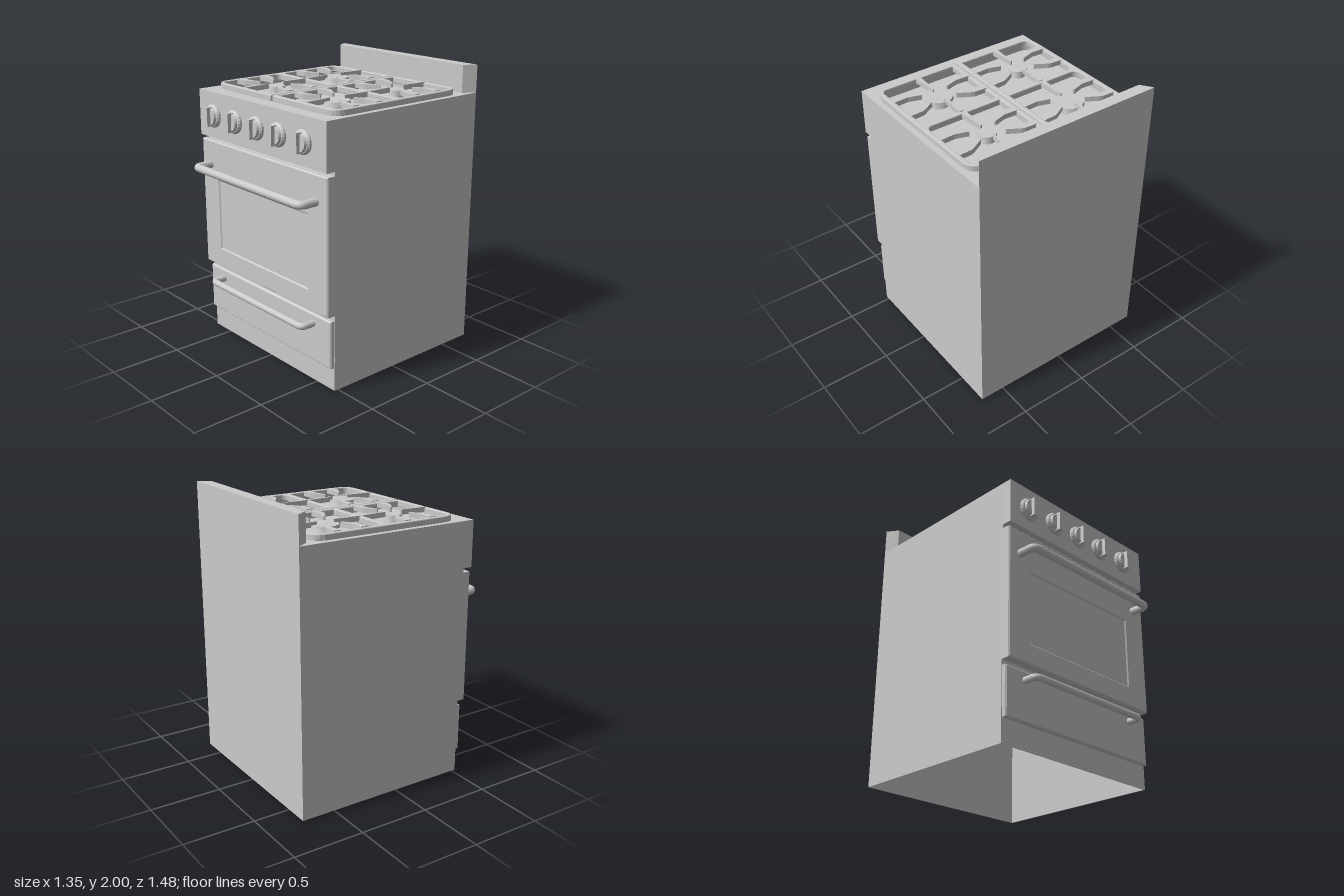
import * as THREE from 'three';

const mat = new THREE.MeshStandardMaterial({ color: 0xcccccc, side: THREE.DoubleSide });

function add(parent, name, geo, x = 0, y = 0, z = 0) {
  const mesh = new THREE.Mesh(geo, mat);
  mesh.name = name;
  mesh.position.set(x, y, z);
  parent.add(mesh);
  return mesh;
}

// Box given by its limits on each axis
function block(parent, name, [x0, x1], [y0, y1], [z0, z1]) {
  return add(parent, name, new THREE.BoxGeometry(x1 - x0, y1 - y0, z1 - z0),
    (x0 + x1) / 2, (y0 + y1) / 2, (z0 + z1) / 2);
}

const polygon = pts => new THREE.Shape(pts.map(p => new THREE.Vector2(...p)));

const rect = (x0, x1, y0, y1) => polygon([[x0, y0], [x1, y0], [x1, y1], [x0, y1]]);

// Rectangle with its own radius on the left and right corners
function roundRect(x0, x1, y0, y1, rl, rr) {
  const s = new THREE.Shape();
  s.moveTo(x0 + rl, y0);
  s.lineTo(x1 - rr, y0);
  s.quadraticCurveTo(x1, y0, x1, y0 + rr);
  s.lineTo(x1, y1 - rr);
  s.quadraticCurveTo(x1, y1, x1 - rr, y1);
  s.lineTo(x0 + rl, y1);
  s.quadraticCurveTo(x0, y1, x0, y1 - rl);
  s.lineTo(x0, y0 + rl);
  s.quadraticCurveTo(x0, y0, x0 + rl, y0);
  return s;
}

// Plan outline in (x, z), extruded downward from y = 0, with an optional bevel
function planExtrude(shape, depth, bevel = 0) {
  const geo = new THREE.ExtrudeGeometry(shape, {
    depth: depth - 2 * bevel, bevelEnabled: bevel > 0, bevelSize: bevel,
    bevelThickness: bevel, bevelOffset: -bevel, bevelSegments: 2, curveSegments: 6,
  });
  geo.translate(0, 0, bevel);
  return geo.rotateX(Math.PI / 2);
}

// Front panel with bevelled edges, optionally pierced
function frontPanel(shape, z0, z1, bevel) {
  const geo = new THREE.ExtrudeGeometry(shape, {
    depth: z1 - z0 - bevel, bevelEnabled: true, bevelSize: bevel,
    bevelThickness: bevel, bevelOffset: -bevel, bevelSegments: 1,
  });
  return geo.translate(0, 0, z0);
}

// Bar handle bent back to the panel at both ends
function handle(parent, name, half, y, zBack, zBar, radius) {
  const r = 0.04, x = half - radius, v = (a, b) => new THREE.Vector3(a, 0, b);
  const path = new THREE.CurvePath();
  path.add(new THREE.LineCurve3(v(-x, zBack), v(-x, zBar - r)));
  path.add(new THREE.QuadraticBezierCurve3(v(-x, zBar - r), v(-x, zBar), v(-x + r, zBar)));
  path.add(new THREE.LineCurve3(v(-x + r, zBar), v(x - r, zBar)));
  path.add(new THREE.QuadraticBezierCurve3(v(x - r, zBar), v(x, zBar), v(x, zBar - r)));
  path.add(new THREE.LineCurve3(v(x, zBar - r), v(x, zBack)));
  add(parent, name, new THREE.TubeGeometry(path, 120, radius, 12), -0.005, y, 0);
}

function knob(parent, x) {
  const g = new THREE.Group();
  g.name = 'knob';
  g.position.set(x, 1.645, 0.6);
  const profile = [[0, 0], [0.08, 0], [0.08, 0.012], [0.07, 0.024], [0.064, 0.026], [0.058, 0.042], [0, 0.042]];
  const dial = new THREE.LatheGeometry(profile.map(p => new THREE.Vector2(...p)), 20);
  dial.rotateX(Math.PI / 2);
  const mesh = add(g, 'knobDial', dial.toNonIndexed());
  mesh.geometry.computeVertexNormals();
  // Grip narrows toward the face
  const grip = new THREE.BoxGeometry(0.036, 0.132, 0.06);
  const p = grip.attributes.position;
  for (let i = 0; i < p.count; i++) if (p.getZ(i) > 0) p.setX(i, p.getX(i) * 0.75);
  grip.computeVertexNormals();
  add(g, 'knobGrip', grip, 0, 0, 0.037);
  parent.add(g);
}

const CELL_Z = [-0.33, 0.205];

// Grate half: frame with two openings, each with six fingers pointing at the burner
function grate(parent, side) {
  const g = new THREE.Group();
  g.name = side < 0 ? 'rightGrate' : 'leftGrate';
  const [x0, x1, rl, rr] = side < 0 ? [-0.635, -0.006, 0.11, 0.012] : [0.006, 0.635, 0.012, 0.11];
  const frame = roundRect(x0, x1, -0.61, 0.49, rl, rr);
  const [hx0, hx1, hl, hr] = side < 0 ? [-0.602, -0.04, 0.05, 0.005] : [0.04, 0.602, 0.005, 0.05];
  frame.holes.push(roundRect(hx0, hx1, -0.58, -0.08, hl, hr), roundRect(hx0, hx1, -0.045, 0.458, hl, hr));
  add(g, 'grateFrame', planExtrude(frame, 0.045, 0.006), 0, 1.85, 0);

  for (const cz of CELL_Z) {
    for (const sz of [-1, 1]) {
      const at = pts => polygon(pts.map(([x, z]) => [side * 0.32 + x, cz + sz * z]));
      const long = at([[-0.018, 0.26], [-0.015, 0.2], [-0.005, 0.065], [0.005, 0.065], [0.015, 0.2], [0.018, 0.26]]);
      add(g, 'grateFinger', planExtrude(long, 0.035), 0, 1.855, 0);
      for (const sx of [-1, 1]) {
        const bent = at([[0.29, 0.125], [0.2, 0.12], [0.18, 0.112], [0.095, 0.063],
          [0.1, 0.051], [0.19, 0.078], [0.29, 0.073]].map(([x, z]) => [sx * x, z]));
        add(g, 'grateFinger', planExtrude(bent, 0.035), 0, 1.855, 0);
      }
    }
  }
  parent.add(g);
}

function burner(parent, x, z, r) {
  const g = new THREE.Group();
  g.name = 'burner';
  g.position.set(x, 1.78, z);
  add(g, 'burnerBase', new THREE.CylinderGeometry(r * 0.75, r * 0.85, 0.035, 14), 0, 0.017, 0);
  add(g, 'burnerCap', new THREE.CylinderGeometry(r * 0.95, r, 0.02, 14), 0, 0.044, 0);
  parent.add(g);
}

export function createModel() {
  const stove = new THREE.Group();
  stove.name = 'stove';
  const W = 0.675, BACK = -0.74, FRONT = 0.53;

  // Cabinet: open skirt below, closed oven body above
  const skirt = rect(-W, W, BACK, FRONT);
  skirt.holes.push(rect(-W + 0.006, W - 0.006, BACK + 0.006, FRONT - 0.006));
  add(stove, 'baseSkirt', planExtrude(skirt, 0.64), 0, 0.64, 0);
  block(stove, 'ovenBody', [-W, W], [0.64, 1.78], [BACK, FRONT]);

  // Cooktop with a shallow rounded well
  const top = rect(-W, W, BACK, 0.6);
  top.holes.push(roundRect(-0.62, 0.62, -0.6, 0.46, 0.09, 0.09));
  add(stove, 'cooktop', planExtrude(top, 0.03), 0, 1.81, 0);

  // Backguard with mitred ends
  const guard = polygon([[-W, BACK], [W, BACK], [0.62, -0.658], [-0.62, -0.658]]);
  add(stove, 'backguard', planExtrude(guard, 0.19), 0, 2, 0);

  // Control panel and knobs
  block(stove, 'controlPanel', [-W, W], [1.488, 1.78], [FRONT, 0.6]);
  for (const x of [-0.505, -0.26, -0.02, 0.21, 0.46]) knob(stove, x);

  // Oven door with window
  const door = rect(-W, W, 0.535, 1.46);
  door.holes.push(rect(-0.485, 0.475, 0.68, 1.18));
  add(stove, 'ovenDoor', frontPanel(door, FRONT, 0.592, 0.008));
  block(stove, 'ovenWindow', [-0.5, 0.49], [0.67, 1.19], [FRONT, 0.584]);
  handle(stove, 'doorHandle', 0.6, 1.285, 0.58, 0.715, 0.028);

  // Storage drawer
  add(stove, 'drawer', frontPanel(rect(-0.67, 0.67, 0.163, 0.498), FRONT, 0.562, 0.009));
  handle(stove, 'drawerHandle', 0.525, 0.433, 0.55, 0.657, 0.023);

  // Burners and grates
  burner(stove, -0.32, -0.34, 0.105);
  burner(stove, 0.32, -0.325, 0.063);
  burner(stove, -0.32, 0.2, 0.063);
  burner(stove, 0.32, 0.22, 0.105);
  grate(stove, -1);
  grate(stove, 1);

  return stove;
}
